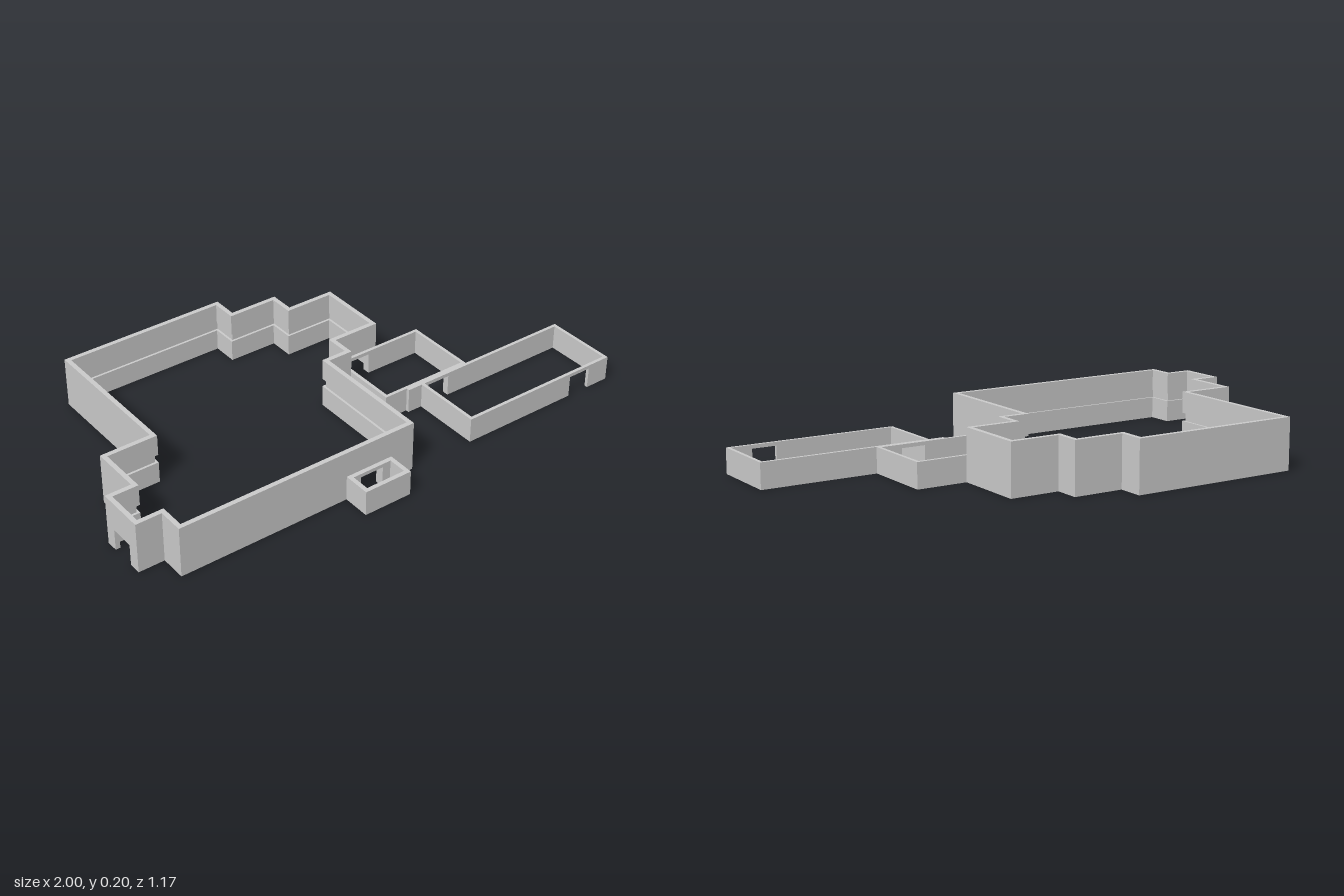
import * as THREE from 'three';

const material = new THREE.MeshStandardMaterial({ color: 0xcccccc, flatShading: true, side: THREE.DoubleSide });

// Vertical prism over a plan polygon of [x, z] corners
function prism(corners, y0, y1) {
  const shape = new THREE.Shape(corners.map(([x, z]) => new THREE.Vector2(x, -z)));
  const geometry = new THREE.ExtrudeGeometry(shape, { depth: y1 - y0, bevelEnabled: false });
  geometry.rotateX(-Math.PI / 2).translate(0, y0, 0);
  return new THREE.Mesh(geometry, material);
}

// Right-angled wall loop, clockwise from above.
// bands: [bottom, top, thickness]; doors: { edge, from, to, height } along the edge's axis
function wallLoop(name, points, bands, doors = []) {
  const group = new THREE.Group();
  group.name = name;
  const n = points.length;
  const at = (i) => points[(i + n) % n];
  const inward = (i) => {
    const [a, b] = [at(i), at(i + 1)];
    return [-Math.sign(b[1] - a[1]), Math.sign(b[0] - a[0])];
  };
  const inner = (i, t) => {
    const [p, u, v] = [at(i), inward(i - 1), inward(i)];
    return [p[0] + t * (u[0] + v[0]), p[1] + t * (u[1] + v[1])];
  };
  const add = (corners, y0, y1) => {
    const mesh = prism(corners, y0, y1);
    mesh.name = name + 'Wall';
    group.add(mesh);
  };
  for (let i = 0; i < n; i++) {
    const door = doors.find((d) => d.edge === i);
    const axis = inward(i)[0] === 0 ? 0 : 1;
    for (const [y0, y1, t] of bands) {
      const [a, b, c, d] = [at(i), at(i + 1), inner(i + 1, t), inner(i, t)];
      const split = door ? Math.min(y1, Math.max(y0, door.height)) : y0;
      // Solid wall above the door, two jambs beside it
      if (split < y1) add([a, b, c, d], split, y1);
      if (split > y0) {
        const forward = b[axis] > a[axis];
        const cut = (p, v) => (axis === 0 ? [v, p[1]] : [p[0], v]);
        const first = forward ? door.from : door.to;
        const last = forward ? door.to : door.from;
        add([a, cut(a, first), cut(d, first), d], y0, split);
        add([cut(b, last), b, c, cut(c, last)], y0, split);
      }
    }
  }
  return group;
}

const rectangle = (x0, x1, z0, z1) => [[x0, z0], [x1, z0], [x1, z1], [x0, z1]];

export function createModel() {
  const model = new THREE.Group();
  model.name = 'buildingWalls';
  const low = 0.097, doorTop = 0.083;

  // Two-storey hall with a recessed strip running around the inside
  const hall = [
    [-0.703, -0.584], [-0.035, -0.584], [-0.035, -0.484], [0.16, -0.484],
    [0.16, -0.386], [0.353, -0.386], [0.353, -0.1], [0.163, -0.1],
    [0.163, -0.005], [0.062, -0.005], [0.062, 0.477], [-0.9, 0.477],
    [-0.9, 0.377], [-1, 0.377], [-1, 0.19], [-0.9, 0.19],
    [-0.9, -0.007], [-0.703, -0.007],
  ];
  model.add(wallLoop('hall', hall,
    [[0, 0.083, 0.018], [0.083, 0.115, 0.009], [0.115, 0.197, 0.018]], [
      { edge: 6, from: 0.215, to: 0.31, height: doorTop },
      { edge: 10, from: -0.18, to: -0.085, height: doorTop },
      { edge: 13, from: 0.235, to: 0.33, height: doorTop },
    ]));

  // Low porch on the front wall
  model.add(wallLoop('porch', rectangle(-0.228, -0.035, 0.477, 0.584), [[0, low, 0.017]],
    [{ edge: 2, from: -0.18, to: -0.085, height: 0 }, { edge: 0, from: -0.18, to: -0.085, height: doorTop }]));

  // Low linking room
  model.add(wallLoop('linkRoom', rectangle(0.172, 0.55, -0.1, 0.19), [[0, low, 0.013]], [
    { edge: 0, from: 0.215, to: 0.31, height: doorTop },
    { edge: 2, from: 0.36, to: 0.455, height: doorTop },
  ]));

  // Low outer room, with a short wall stub beside its back door
  model.add(wallLoop('outerRoom', rectangle(0.328, 1, 0.19, 0.477), [[0, low, 0.013]], [
    { edge: 0, from: 0.36, to: 0.455, height: doorTop },
    { edge: 2, from: 0.81, to: 0.905, height: doorTop },
  ]));
  const stub = prism(rectangle(0.268, 0.328, 0.19, 0.203), 0, low);
  stub.name = 'wallStub';
  model.add(stub);
  return model;
}
